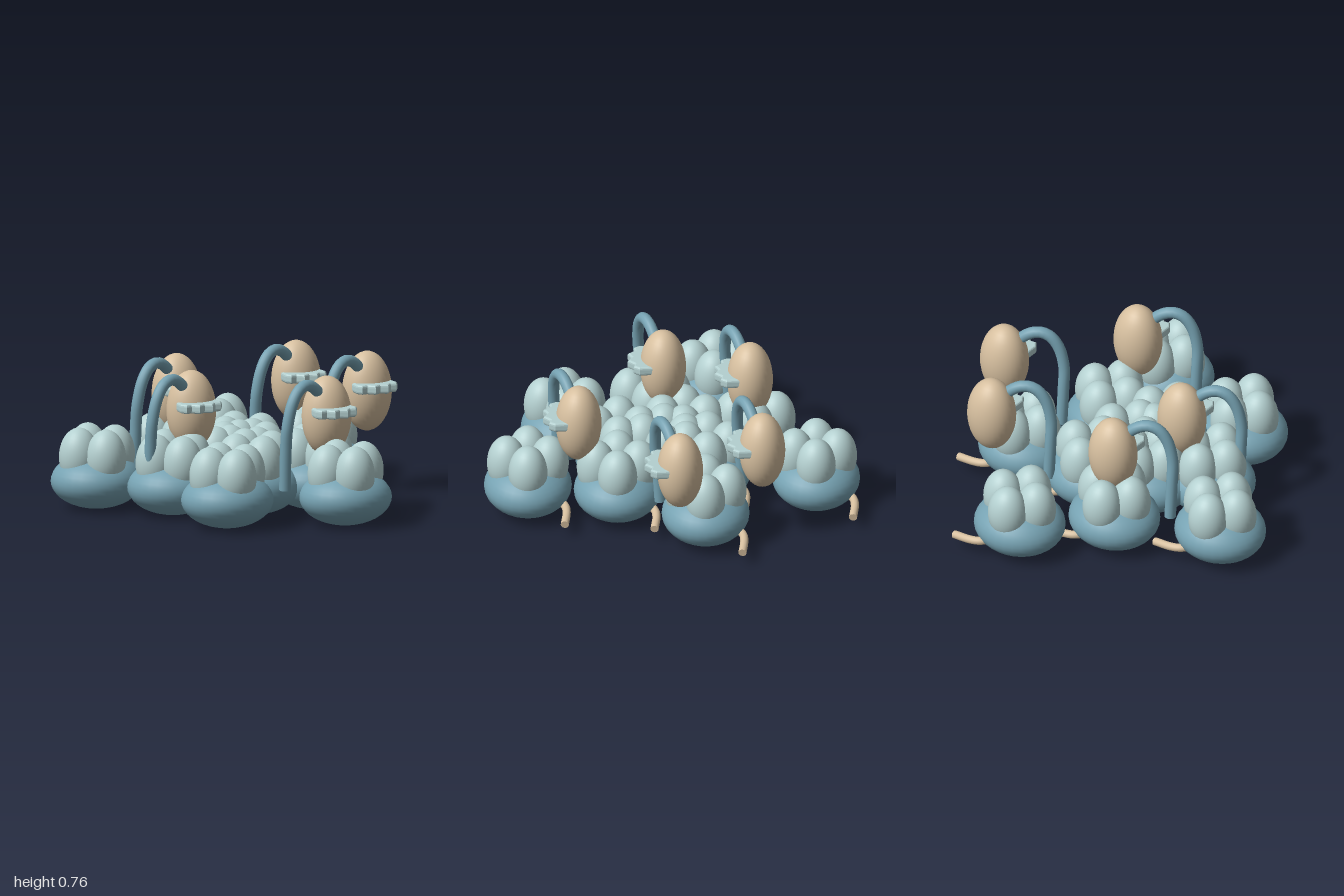
import * as THREE from 'three';

const blue = new THREE.MeshStandardMaterial({ color: 0x76a2b2 });
blue.name = 'duskyBlue';
const pale = new THREE.MeshStandardMaterial({ color: 0xb4d0d0 });
pale.name = 'paleAqua';
const tan = new THREE.MeshStandardMaterial({ color: 0xd6bf9f });
tan.name = 'warmTan';

const ball = new THREE.SphereGeometry(1, 32, 20);

function ellipsoid(name, material, position, radii) {
  const mesh = new THREE.Mesh(ball, material);
  mesh.name = name;
  mesh.position.set(...position);
  mesh.scale.set(...radii);
  return mesh;
}

// Curved tube with closed ends
function cappedTube(name, material, points, radius) {
  const group = new THREE.Group();
  group.name = name;
  const curve = new THREE.CatmullRomCurve3(points.map((p) => new THREE.Vector3(...p)));
  group.add(new THREE.Mesh(new THREE.TubeGeometry(curve, 28, radius, 14), material));
  for (const [t, dir] of [[0, -1], [1, 1]]) {
    const cap = new THREE.Mesh(new THREE.CircleGeometry(radius, 14), material);
    cap.position.copy(curve.getPointAt(t));
    const out = curve.getTangentAt(t).multiplyScalar(dir);
    cap.quaternion.setFromUnitVectors(new THREE.Vector3(0, 0, 1), out);
    group.add(cap);
  }
  return group;
}

// Flat frill with a toothed front edge
function frillGeometry() {
  const shape = new THREE.Shape();
  shape.moveTo(-0.105, -0.06);
  const edge = [[-0.11, -0.12], [-0.095, -0.145], [-0.065, -0.14], [-0.035, -0.175],
    [0, -0.155], [0.035, -0.175], [0.065, -0.14], [0.095, -0.145], [0.11, -0.12], [0.105, -0.06]];
  edge.forEach(([x, y]) => shape.lineTo(x, y));
  const geometry = new THREE.ExtrudeGeometry(shape, {
    depth: 0.02, bevelEnabled: true, bevelThickness: 0.015, bevelSize: 0.01, bevelSegments: 3,
  });
  geometry.translate(0, 0, -0.01);
  geometry.rotateX(-Math.PI / 2);
  return geometry;
}

// Rounded base, four lobes on top and a bent stick at the back
function createPod(x, z) {
  const pod = new THREE.Group();
  pod.name = 'pod';
  pod.position.set(x, 0, z);
  pod.add(ellipsoid('base', blue, [0, 0.15, 0], [0.248, 0.148, 0.233]));
  for (const [dx, dz] of [[1, 0], [-1, 0], [0, 1], [0, -1]]) {
    pod.add(ellipsoid('lobe', pale, [dx * 0.105, 0.285, dz * 0.113], [0.107, 0.155, 0.104]));
  }
  pod.add(cappedTube('stick', tan,
    [[0.07, 0.1, -0.15], [0.125, 0.095, -0.195], [0.18, 0.088, -0.205], [0.285, 0.072, -0.195]], 0.022));
  return pod;
}

// Egg-shaped head hanging from an arched neck
function createHead(x, z, frill) {
  const group = new THREE.Group();
  group.name = 'headAndNeck';
  group.position.set(x, 0, z);
  group.add(ellipsoid('head', tan, [0, 0.54, 0], [0.134, 0.214, 0.122]));
  group.add(cappedTube('neck', blue, [
    [-0.293, 0.18, 0.105], [-0.295, 0.4, 0.12], [-0.29, 0.53, 0.132], [-0.26, 0.645, 0.128],
    [-0.215, 0.71, 0.112], [-0.165, 0.73, 0.09], [-0.115, 0.716, 0.066], [-0.06, 0.67, 0.04],
  ], 0.031));
  const mesh = new THREE.Mesh(frill, pale);
  mesh.name = 'frill';
  mesh.position.y = 0.575;
  group.add(mesh);
  return group;
}

export function createModel() {
  const model = new THREE.Group();
  model.name = 'podCluster';
  const pods = [
    [0.225, -0.765], [-0.16, -0.44], [-0.69, -0.225], [0.59, -0.18], [-0.4, 0.11], [-0.3, 0.565],
    [0.345, 0.285], [0.3, 0.76], [0.15, -0.19], [-0.01, 0.28], [-0.125, -0.065], [0.07, 0.04],
  ];
  pods.forEach(([x, z]) => model.add(createPod(x, z)));

  const frill = frillGeometry();
  const heads = [[-0.135, -0.415], [0.595, -0.48], [0.805, -0.045], [-0.265, 0.045], [0.315, 0.492]];
  heads.forEach(([x, z]) => model.add(createHead(x, z, frill)));
  return model;
}
